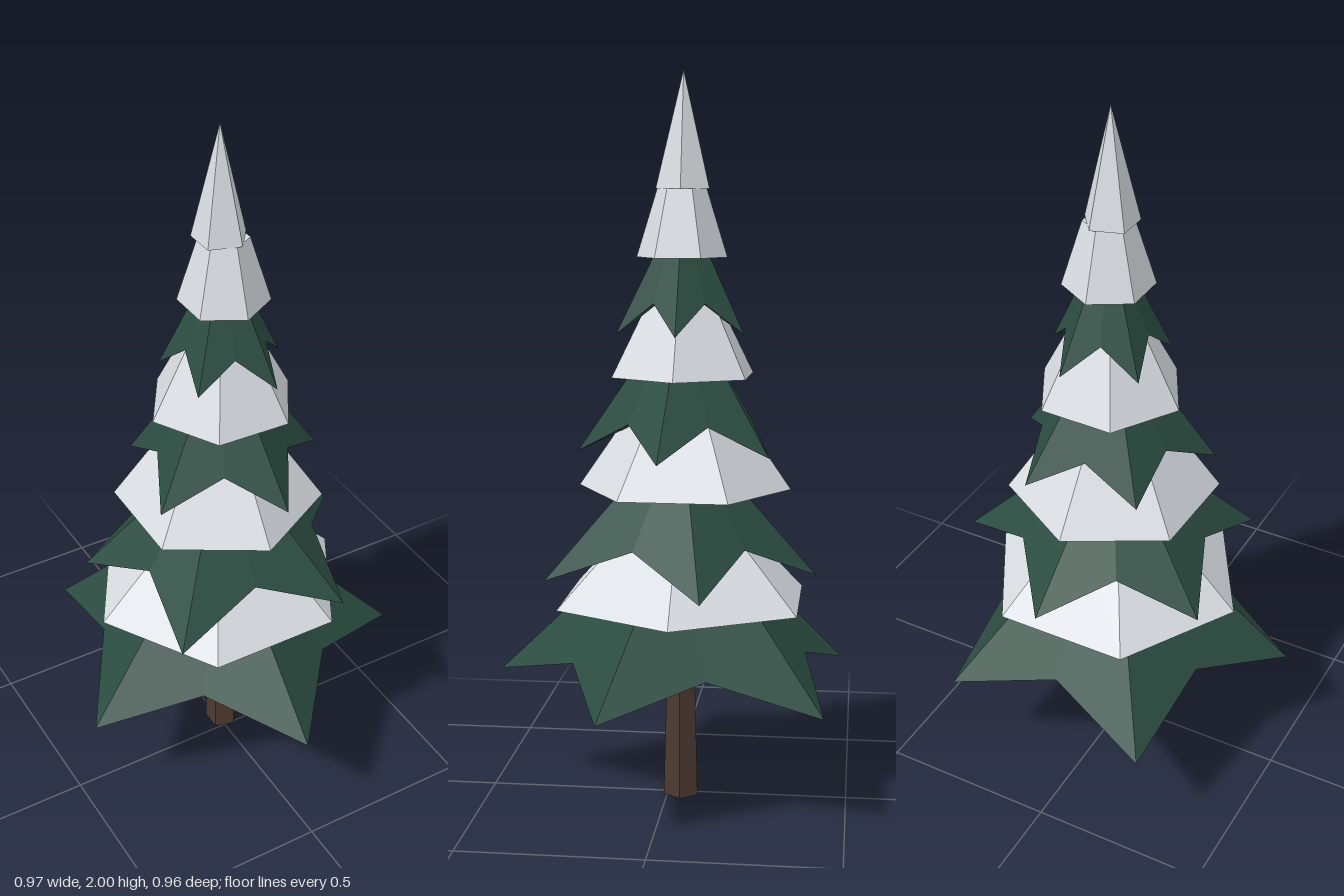
import * as THREE from 'three';

const material = (name, color) => {
  const m = new THREE.MeshStandardMaterial({ color, flatShading: true });
  m.name = name;
  return m;
};

// Star-shaped cone: drooping tips, raised valleys between them, hollowed underneath
function starCone({ centre: [cx, cz], tips, tipY, valleyR, valleyY, apexY }) {
  const ring = [];
  tips.forEach(([x, z, y = tipY], i) => {
    const [nx, nz] = tips[(i + 1) % tips.length];
    const dx = (x + nx) / 2 - cx, dz = (z + nz) / 2 - cz;
    const k = valleyR / Math.hypot(dx, dz);
    ring.push([x, y, z], [cx + dx * k, valleyY, cz + dz * k]);
  });
  const apex = [cx, apexY, cz], hollow = [cx, valleyY + 0.25 * valleyR, cz];
  const points = [];
  ring.forEach((p, i) => {
    const q = ring[(i + 1) % ring.length];
    points.push(...apex, ...q, ...p, ...hollow, ...p, ...q);
  });
  const geometry = new THREE.BufferGeometry();
  geometry.setAttribute('position', new THREE.Float32BufferAttribute(points, 3));
  geometry.computeVertexNormals();
  return geometry;
}

export function createModel() {
  const tree = new THREE.Group();
  tree.name = 'snowyPineTree';
  const bark = material('bark brown', 0x4d3a32);
  const needles = material('pine green', 0x2b4c41);
  const snow = material('snow white', 0xdadee3);

  const add = (name, geometry, mat) => {
    const mesh = new THREE.Mesh(geometry, mat);
    mesh.name = name;
    tree.add(mesh);
  };

  // Few-sided solid from a [radius, height] profile running bottom to top
  const turned = (x, z, sides, turn, profile) =>
    new THREE.LatheGeometry(profile.map(([r, y]) => new THREE.Vector2(r, y)), sides, turn)
      .translate(x, 0, z);

  // Trunk
  add('trunk', turned(0.012, -0.038, 5, Math.PI / 2,
    [[0, 0], [0.05, 0], [0.036, 0.55], [0, 0.55]]), bark);

  // Branch tiers, bottom to top; tips run right, front, left, back as [x, z, optional y]
  const tiers = [
    { centre: [0, -0.043], tipY: 0.324, valleyR: 0.34, valleyY: 0.418, apexY: 0.84,
      tips: [[0.483, 0.132, 0.34], [-0.01, 0.477, 0.34], [-0.485, 0.105], [-0.298, -0.48], [0.313, -0.444]] },
    { centre: [0.008, -0.038], tipY: 0.647, valleyR: 0.265, valleyY: 0.742, apexY: 1.06,
      tips: [[0.426, -0.128], [0.202, 0.312], [-0.288, 0.267], [-0.341, -0.209], [0.049, -0.411]] },
    { centre: [0.015, -0.042], tipY: 0.98, valleyR: 0.187, valleyY: 1.066, apexY: 1.4,
      tips: [[0.295, -0.003], [0.056, 0.242], [-0.244, 0.08], [-0.168, -0.24], [0.143, -0.286]] },
    { centre: [0.018, -0.042], tipY: 1.302, valleyR: 0.115, valleyY: 1.386, apexY: 1.67,
      tips: [[0.19, -0.039], [0.082, 0.132], [-0.116, 0.062], [-0.121, -0.142], [0.072, -0.212]] },
  ];
  tiers.forEach((tier, i) => add(`branchTier${i + 1}`, starCone(tier), needles));

  // Snow layers with a hollowed underside: x, z, bottom, top, bottom radius, top radius, turn
  const layers = [
    [0, -0.041, 0.562, 0.8, 0.374, 0.135, Math.PI / 2],
    [0.004, -0.045, 0.876, 1.12, 0.293, 0.125, -0.02],
    [0.015, -0.043, 1.187, 1.44, 0.208, 0.075, Math.PI / 2 - 0.03],
    [0.02, -0.039, 1.506, 1.688, 0.123, 0.067, 0],
  ];
  layers.forEach(([x, z, y0, y1, r0, r1, turn], i) => add(`snowLayer${i + 1}`,
    turned(x, z, 6, turn, [[0, y0 + 0.18 * r0], [r0, y0], [r1, y1], [0, y1]]), snow));

  // Snowy treetop
  add('snowTop', turned(0.011, -0.042, 5, Math.PI / 2,
    [[0, 1.7], [0.076, 1.688], [0, 2]]), snow);

  return tree;
}
